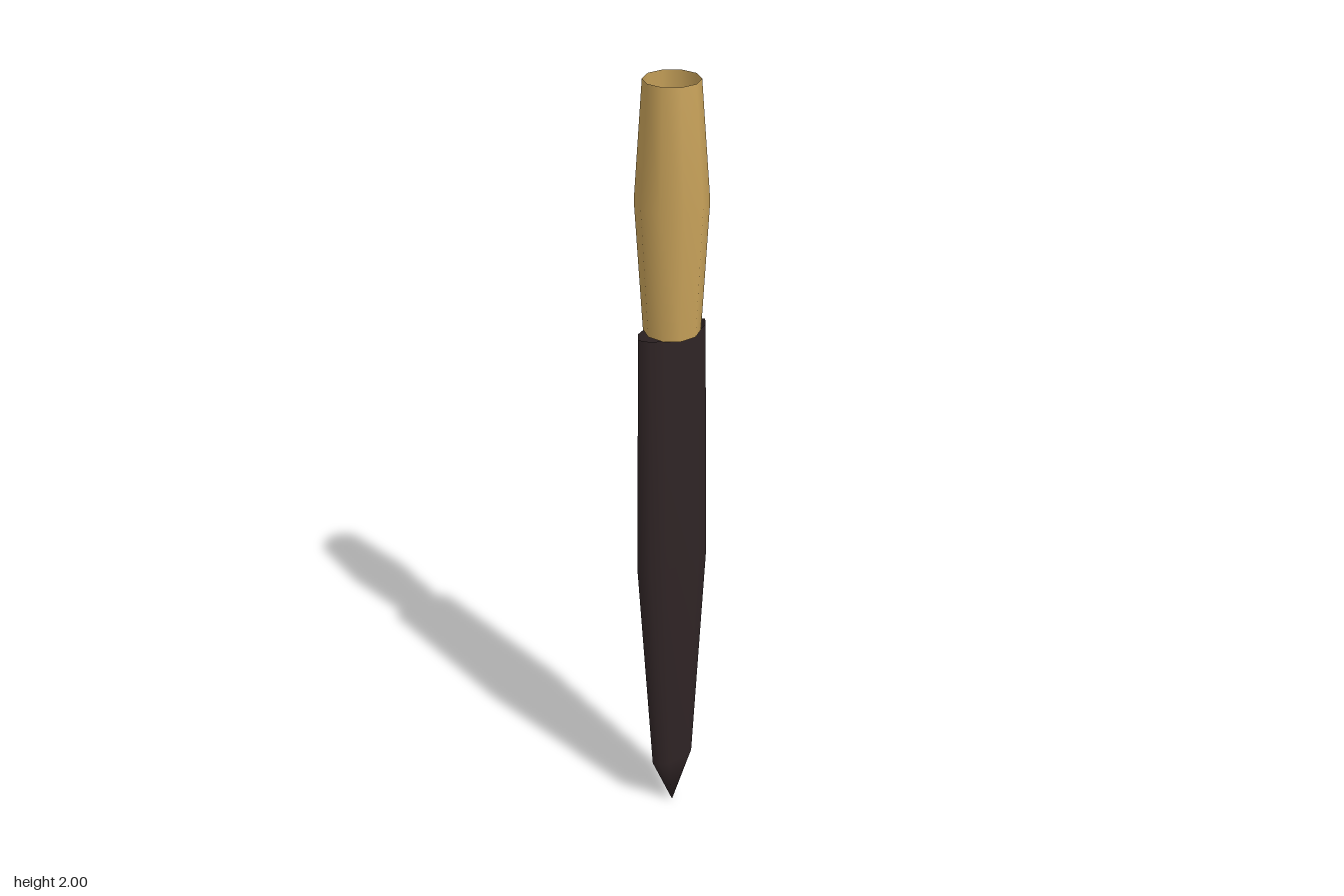
import * as THREE from 'three';
import { mergeVertices } from 'three/addons/utils/BufferGeometryUtils.js';

const SIDES = 10;

// Ten-sided open shell from [radius, y] pairs, bottom to top, with a corner on the x axis
function shell(profile) {
  const points = profile.map(([r, y]) => new THREE.Vector2(r, y));
  return new THREE.LatheGeometry(points, SIDES, Math.PI / 2);
}

// Turns the round section into a flat lens: broad faces front and back, pointed edges left and right
function flatten(geometry) {
  const corners = [[1, 0], [0.82, 0.6], [0.48, 1]]; // one quarter of the section
  const pos = geometry.attributes.position;
  for (let i = 0; i < pos.count; i++) {
    const x = pos.getX(i), z = pos.getZ(i);
    const r = Math.hypot(x, z);
    if (r < 1e-6) continue;
    const step = Math.round(Math.atan2(Math.abs(z), Math.abs(x)) / (Math.PI * 2 / SIDES));
    const [cx, cz] = corners[step];
    pos.setX(i, Math.sign(x) * cx * r);
    pos.setZ(i, Math.sign(z) * cz * r * 0.43);
  }
  geometry.deleteAttribute('uv');
  geometry.deleteAttribute('normal');
  const merged = mergeVertices(geometry, 1e-5);
  merged.computeVertexNormals();
  return merged;
}

export function createModel() {
  const group = new THREE.Group();
  group.name = 'sheathedKnife';

  const wood = new THREE.MeshStandardMaterial({ color: 0xc8a25a, side: THREE.DoubleSide });
  wood.name = 'pale wood';
  const leather = new THREE.MeshStandardMaterial({ color: 0x2f2425, side: THREE.DoubleSide });
  leather.name = 'dark leather';

  // Hollow handle, swelling in the middle
  const handle = new THREE.Mesh(shell([[0.066, 1.42], [0.083, 1.73], [0.063, 2]]), wood);
  handle.name = 'handle';

  // Flat sheath, open at the top and tapering to a point
  const sheath = new THREE.Mesh(
    flatten(shell([[0, 0], [0.063, 0.16], [0.104, 0.8], [0.094, 1.42]])), leather);
  sheath.name = 'sheath';

  group.add(handle, sheath);
  return group;
}
